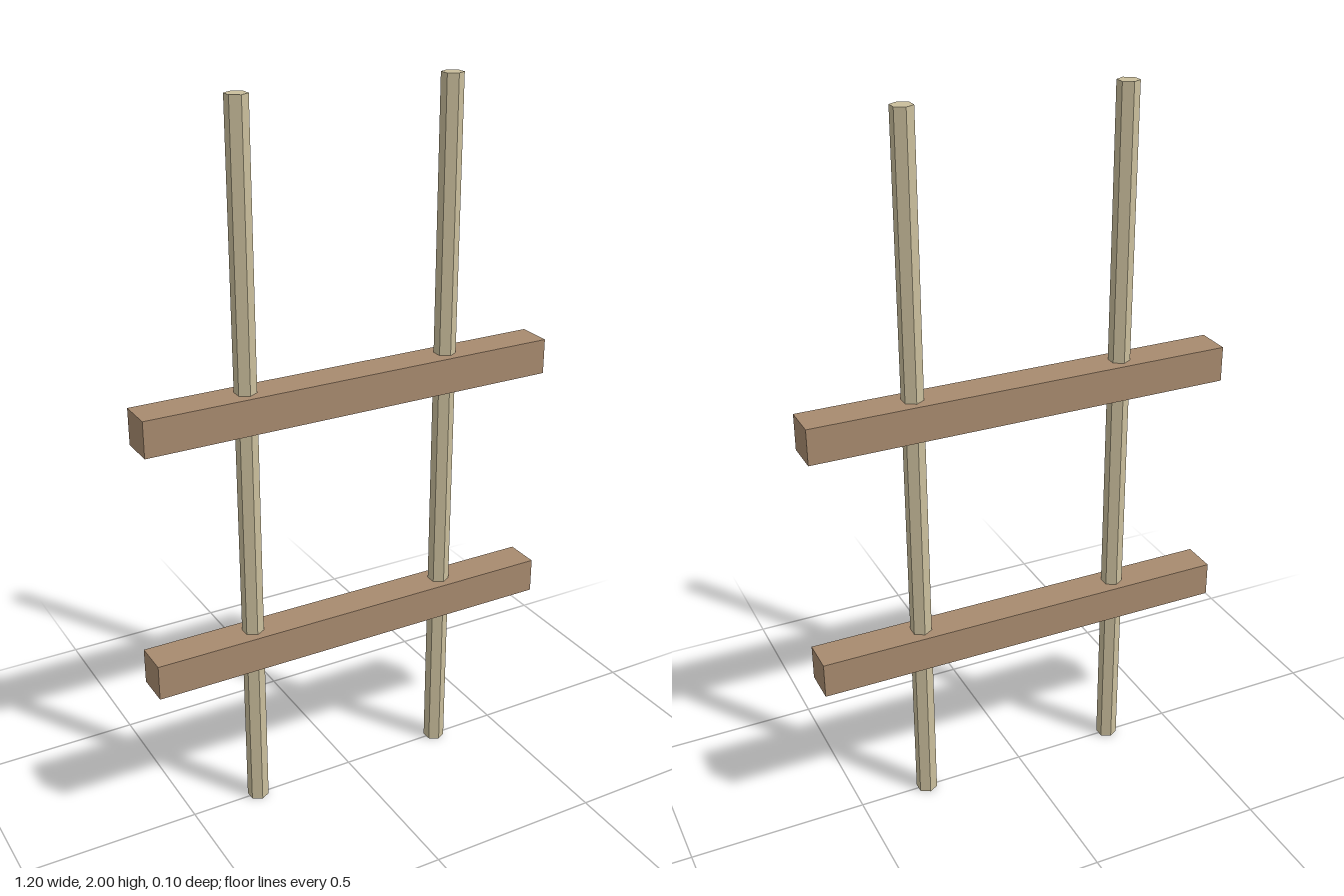
import * as THREE from 'three';

export function createModel() {
  const group = new THREE.Group();
  const paleWood = new THREE.MeshStandardMaterial({ name: 'paleWood', color: 0xcabe9c, flatShading: true });
  const brownWood = new THREE.MeshStandardMaterial({ name: 'brownWood', color: 0xa88b6f, flatShading: true });

  const add = (name, geometry, material, x, y) => {
    const mesh = new THREE.Mesh(geometry, material);
    mesh.name = name;
    mesh.position.set(x, y, 0);
    group.add(mesh);
  };

  // Hexagonal upright poles, with a corner facing front and back
  const poleGeometry = new THREE.CylinderGeometry(0.03, 0.03, 2, 6);
  add('leftPole', poleGeometry, paleWood, 0.3, 1);
  add('rightPole', poleGeometry, paleWood, -0.3, 1);

  // Square crossbars threaded by the poles
  const barGeometry = new THREE.BoxGeometry(1.2, 0.1, 0.1);
  add('lowerCrossbar', barGeometry, brownWood, 0, 0.5);
  add('upperCrossbar', barGeometry, brownWood, 0, 1.2);

  return group;
}
